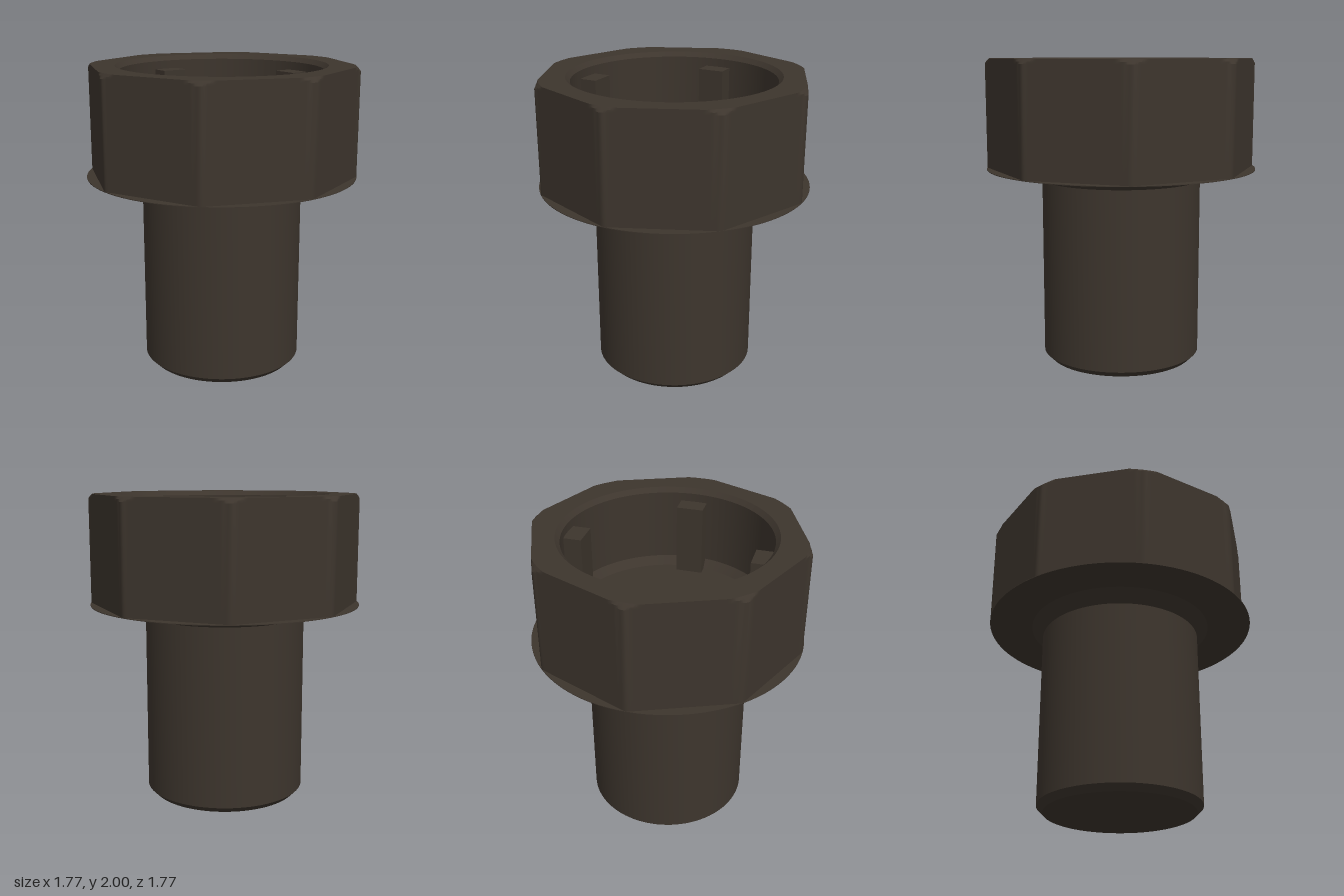
import * as THREE from 'three';
import { toCreasedNormals } from 'three/addons/utils/BufferGeometryUtils.js';

const CREASE = Math.PI / 6;

// Radius of an octagon with lightly rounded corners, corners on the axes
function octagonRadius(angle) {
  const side = Math.PI / 4;
  const local = (angle % side) - side / 2;
  return Math.min(0.82 / Math.cos(local), 0.884);
}

// Skin over rings of [largest radius, height], each trimmed to the octagon
function octagonRings(rings, segments) {
  const positions = [];
  const index = [];
  for (const [cap, y] of rings) {
    for (let j = 0; j < segments; j++) {
      const angle = (j / segments) * Math.PI * 2;
      const r = Math.min(cap, octagonRadius(angle));
      positions.push(Math.sin(angle) * r, y, Math.cos(angle) * r);
    }
  }
  for (let i = 0; i < rings.length - 1; i++) {
    for (let j = 0; j < segments; j++) {
      const a = i * segments + j;
      const b = i * segments + ((j + 1) % segments);
      const c = a + segments;
      const d = b + segments;
      index.push(a, b, d, a, d, c);
    }
  }
  const geometry = new THREE.BufferGeometry();
  geometry.setAttribute('position', new THREE.Float32BufferAttribute(positions, 3));
  geometry.setIndex(index);
  return toCreasedNormals(geometry, CREASE);
}

function lathe(points) {
  const profile = points.map(([r, y]) => new THREE.Vector2(r, y));
  return toCreasedNormals(new THREE.LatheGeometry(profile, 96), CREASE);
}

export function createModel() {
  const model = new THREE.Group();
  model.name = 'octagonalPlug';
  const darkBrown = new THREE.MeshStandardMaterial({ color: 0x3d352d });
  darkBrown.name = 'darkBrown';

  const add = (name, geometry) => {
    const mesh = new THREE.Mesh(geometry, darkBrown);
    mesh.name = name;
    model.add(mesh);
    return mesh;
  };

  // Chamfered round shank with a conical neck
  add('shank', lathe([
    [0, 0], [0.485, 0], [0.525, 0.04], [0.525, 1.21], [0.6, 1.286],
  ]));

  // Thin round flange closing the underside of the head
  add('flange', lathe([
    [0.59, 1.286], [0.885, 1.286], [0.885, 1.29], [0.7, 1.29],
  ]));

  // Octagonal head: outer wall, corner chamfers, rim, and round socket
  add('head', octagonRings([
    [0.885, 1.288], [0.885, 1.97], [0.87, 1.985], [0.855, 2],
    [0.683, 2], [0.655, 1.97], [0.655, 1.5], [0.605, 1.45], [0, 1.45],
  ], 400));

  // Four upright keys inside the socket
  for (let i = 0; i < 4; i++) {
    const box = new THREE.BoxGeometry(0.176, 0.475, 0.122);
    box.translate(0, 1.6775, 0.595);
    add('socketKey' + (i + 1), box).rotation.y = (i * Math.PI) / 2;
  }

  return model;
}
